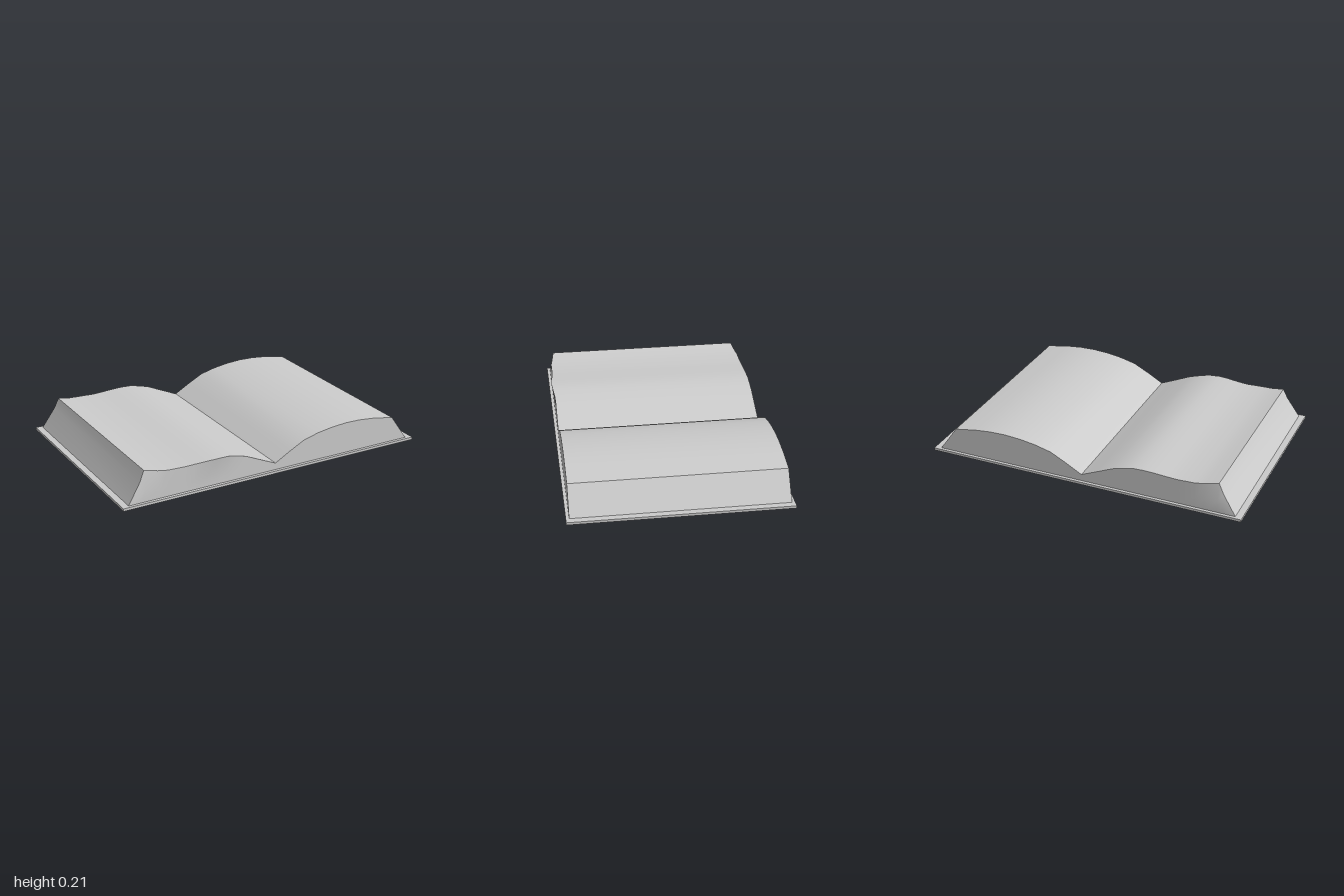
import * as THREE from 'three';
import { toCreasedNormals } from 'three/addons/utils/BufferGeometryUtils.js';

const BASE = 0.016;
const HALF_DEPTH = 0.637;

// Page block columns: x, height, shift of the front top edge, shift of the back top edge
const COLUMNS = [
  [-0.96, BASE, 0, 0], [-0.88, 0.137, -0.014, -0.014], [-0.85, 0.2, -0.022, -0.018],
  [-0.77, 0.184, -0.01, -0.008], [-0.71, 0.178, 0, 0], [-0.6, 0.174, 0, 0],
  [-0.54, 0.177, 0.003, 0], [-0.46, 0.182, 0.012, 0], [-0.4, 0.184, 0.015, 0],
  [-0.33, 0.181, 0.01, 0], [-0.26, 0.165, 0.002, 0], [-0.2, 0.147, 0, 0],
  [-0.1, 0.102, 0, 0], [0, 0.058, 0, 0], [0.1, 0.114, 0, 0], [0.2, 0.165, 0, 0],
  [0.3, 0.19, 0, 0], [0.4, 0.205, 0, 0], [0.5, 0.212, 0, 0], [0.6, 0.21, 0, 0],
  [0.7, 0.2, 0, 0], [0.845, 0.175, 0, 0], [0.96, BASE, 0, 0],
];

// Closed ring around the block at one column
function section([x, y, front, back]) {
  const mid = BASE + (y - BASE) * 0.4;
  return [
    [x, BASE, HALF_DEPTH], [x, mid, HALF_DEPTH], [x, y, HALF_DEPTH + front],
    [x, y, -HALF_DEPTH - back], [x, mid, -HALF_DEPTH], [x, BASE, -HALF_DEPTH],
  ];
}

function loft(rings) {
  const positions = [];
  const triangle = (...points) => {
    const [a, b, c] = points.map((p) => new THREE.Vector3(...p));
    const area = b.clone().sub(a).cross(c.clone().sub(a)).length();
    if (area > 1e-8) positions.push(...points.flat());
  };
  for (let i = 0; i < rings.length - 1; i++) {
    const r = rings[i], s = rings[i + 1];
    for (let j = 0; j < r.length; j++) {
      const k = (j + 1) % r.length;
      triangle(r[j], s[j], s[k]);
      triangle(r[j], s[k], r[k]);
    }
  }
  const geometry = new THREE.BufferGeometry();
  geometry.setAttribute('position', new THREE.Float32BufferAttribute(positions, 3));
  return toCreasedNormals(geometry, Math.PI / 6);
}

export function createModel() {
  const group = new THREE.Group();
  group.name = 'openBook';
  const material = new THREE.MeshStandardMaterial({ color: 0xcccccc });

  // Flat cover lying under the pages
  const cover = new THREE.Mesh(new THREE.BoxGeometry(2, BASE, 1.312), material);
  cover.name = 'cover';
  cover.position.y = BASE / 2;
  group.add(cover);

  // Two curved halves of pages meeting at the gutter
  const pages = new THREE.Mesh(loft(COLUMNS.map(section)), material);
  pages.name = 'pages';
  group.add(pages);

  return group;
}
